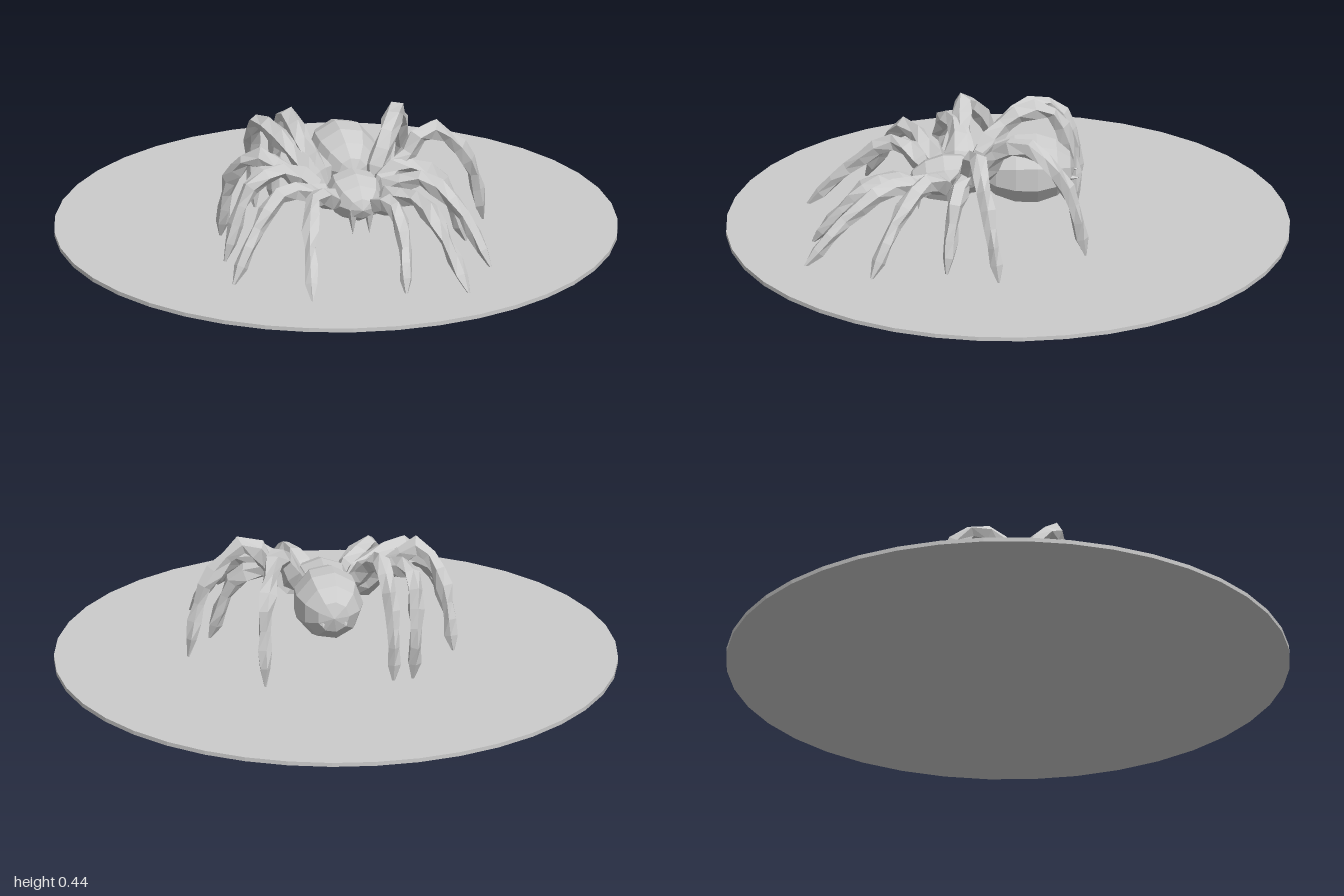
import * as THREE from 'three';

const material = new THREE.MeshStandardMaterial({ color: 0xcccccc, flatShading: true });

function addMesh(parent, name, geometry, position = [0, 0, 0], rotation = [0, 0, 0]) {
  const mesh = new THREE.Mesh(geometry, material);
  mesh.name = name;
  mesh.position.set(...position);
  mesh.rotation.set(...rotation);
  parent.add(mesh);
  return mesh;
}

// Faceted egg: a coarse sphere whose poles point along z
function egg(rx, ry, rz, sides, rings, frontTaper) {
  const g = new THREE.SphereGeometry(1, sides, rings);
  g.rotateX(Math.PI / 2);
  const p = g.attributes.position;
  for (let i = 0; i < p.count; i++) {
    const z = p.getZ(i);
    const k = 1 - frontTaper * z;
    p.setXYZ(i, p.getX(i) * rx * k, p.getY(i) * ry * k, z * rz);
  }
  g.computeVertexNormals();
  return g;
}

// Leg: tube through its joints, thick along the femur, pinched at each joint
function legGeometry(joints, thickness) {
  const curve = new THREE.CatmullRomCurve3(joints.map((j) => new THREE.Vector3(...j)), false, 'centripetal');
  const segments = (joints.length - 1) * 3;
  const sides = 5;
  const g = new THREE.TubeGeometry(curve, segments, 1, sides);
  const p = g.attributes.position;
  const v = new THREE.Vector3();
  for (let i = 0; i <= segments; i++) {
    const t = i / segments;
    const center = curve.getPointAt(t);
    const pinch = i % 3 === 0 ? 0.85 : 1.08;
    const r = i === 0 || i === segments ? 0.004 : thickness * pinch * (1.1 - 0.6 * t);
    for (let j = 0; j <= sides; j++) {
      const k = i * (sides + 1) + j;
      const uneven = 1 + 0.18 * Math.sin(i * 2.3 + (j % sides) * 3.7);
      v.fromBufferAttribute(p, k).sub(center).multiplyScalar(r * uneven).add(center);
      p.setXYZ(k, v.x, Math.max(v.y, 0.005), v.z);
    }
  }
  g.computeVertexNormals();
  return g;
}

// Joints from hip to foot
const LEGS = {
  leftBackLeg: [[0.1, 0.21, 0.13], [0.19, 0.39, 0.03], [0.23, 0.41, -0.06], [0.28, 0.28, -0.19], [0.29, 0.02, -0.26]],
  leftRearMiddleLeg: [[0.09, 0.2, 0.15], [0.2, 0.29, 0.15], [0.3, 0.41, 0.13], [0.45, 0.28, 0.1], [0.52, 0.02, 0.06]],
  leftMiddleLeg: [[0.09, 0.2, 0.18], [0.2, 0.29, 0.16], [0.32, 0.26, 0.2], [0.42, 0.01, 0.24]],
  leftFrontMiddleLeg: [[0.08, 0.2, 0.21], [0.25, 0.29, 0.31], [0.36, 0.2, 0.41], [0.45, 0.01, 0.51]],
  leftFrontLeg: [[0.08, 0.2, 0.25], [0.2, 0.26, 0.42], [0.26, 0.18, 0.57], [0.32, 0.01, 0.74]],
  leftPalp: [[0.06, 0.2, 0.31], [0.11, 0.25, 0.46], [0.12, 0.16, 0.58], [0.1, 0.01, 0.7]],
  rightBackLeg: [[-0.05, 0.21, 0.12], [-0.13, 0.36, 0], [-0.15, 0.4, -0.14], [-0.17, 0.22, -0.23], [-0.17, 0.01, -0.25]],
  rightRearMiddleLeg: [[-0.06, 0.2, 0.13], [-0.19, 0.35, -0.02], [-0.25, 0.38, -0.15], [-0.25, 0.22, -0.25], [-0.24, 0.01, -0.24]],
  rightMiddleLeg: [[-0.06, 0.2, 0.15], [-0.22, 0.3, 0.15], [-0.32, 0.36, 0.14], [-0.39, 0.26, 0.06], [-0.42, 0.01, 0]],
  rightFrontMiddleLeg: [[-0.06, 0.2, 0.18], [-0.22, 0.31, 0.17], [-0.35, 0.28, 0.21], [-0.46, 0.01, 0.25]],
  rightFrontLeg: [[-0.05, 0.2, 0.21], [-0.27, 0.29, 0.34], [-0.38, 0.18, 0.41], [-0.48, 0.01, 0.48]],
  rightPalp: [[-0.04, 0.2, 0.27], [-0.16, 0.28, 0.38], [-0.21, 0.18, 0.53], [-0.24, 0.01, 0.7]],
};

export function createModel() {
  const model = new THREE.Group();
  model.name = 'spiderOnDisc';

  // Ground disc
  addMesh(model, 'baseDisc', new THREE.CylinderGeometry(1, 1, 0.015, 40), [0, 0.0075, 0]);

  const spider = new THREE.Group();
  spider.name = 'spider';
  model.add(spider);

  // Body
  addMesh(spider, 'abdomen', egg(0.125, 0.125, 0.175, 9, 7, 0.06), [0.04, 0.255, -0.06]);
  addMesh(spider, 'headAndThorax', egg(0.105, 0.085, 0.13, 8, 6, 0.12), [0.02, 0.215, 0.225], [0.08, 0, 0]);

  // Paired fangs and spinnerets
  for (const side of [-1, 1]) {
    addMesh(spider, 'fang', new THREE.ConeGeometry(0.024, 0.1, 5), [0.02 + side * 0.03, 0.155, 0.32], [Math.PI, 0, 0]);
    addMesh(spider, 'spinneret', new THREE.ConeGeometry(0.018, 0.06, 4), [0.04 + side * 0.04, 0.23, -0.22], [-Math.PI / 2, 0, 0]);
  }

  // Legs
  for (const [name, joints] of Object.entries(LEGS)) {
    addMesh(spider, name, legGeometry(joints, name.includes('Palp') ? 0.035 : 0.038));
  }
  return model;
}
